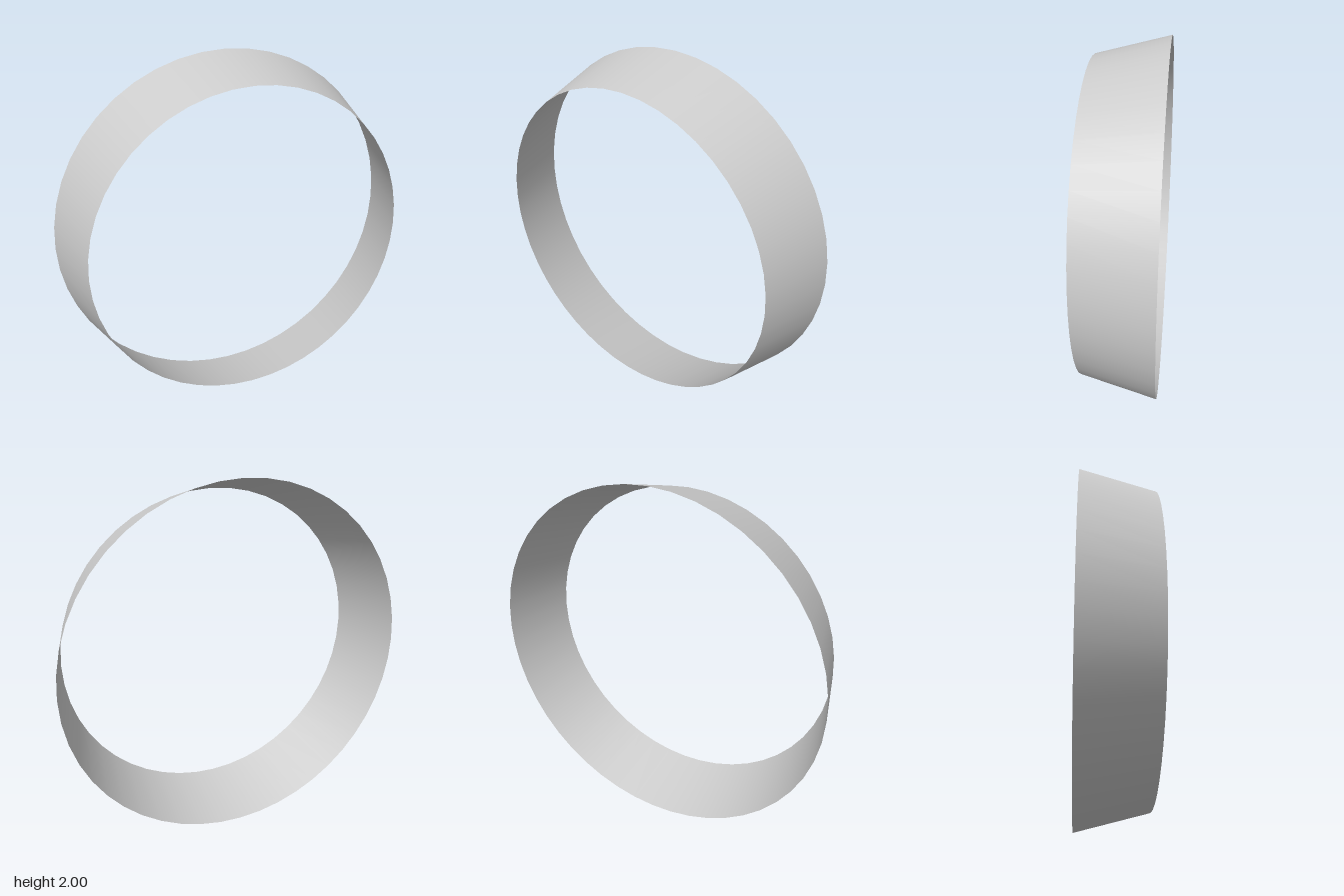
import * as THREE from 'three';

export function createModel() {
  const group = new THREE.Group();
  group.name = 'taperedRing';

  // Open, thin conical band: narrow rim at the front, wide rim at the back
  const frontRadius = 0.895, backRadius = 1, depth = 0.41;
  const geometry = new THREE.CylinderGeometry(frontRadius, backRadius, depth, 48, 1, true);
  geometry.rotateX(Math.PI / 2);

  const band = new THREE.Mesh(
    geometry,
    new THREE.MeshStandardMaterial({ color: 0xcccccc, side: THREE.DoubleSide })
  );
  band.name = 'band';
  band.position.y = backRadius; // stands on the ground
  group.add(band);

  return group;
}
